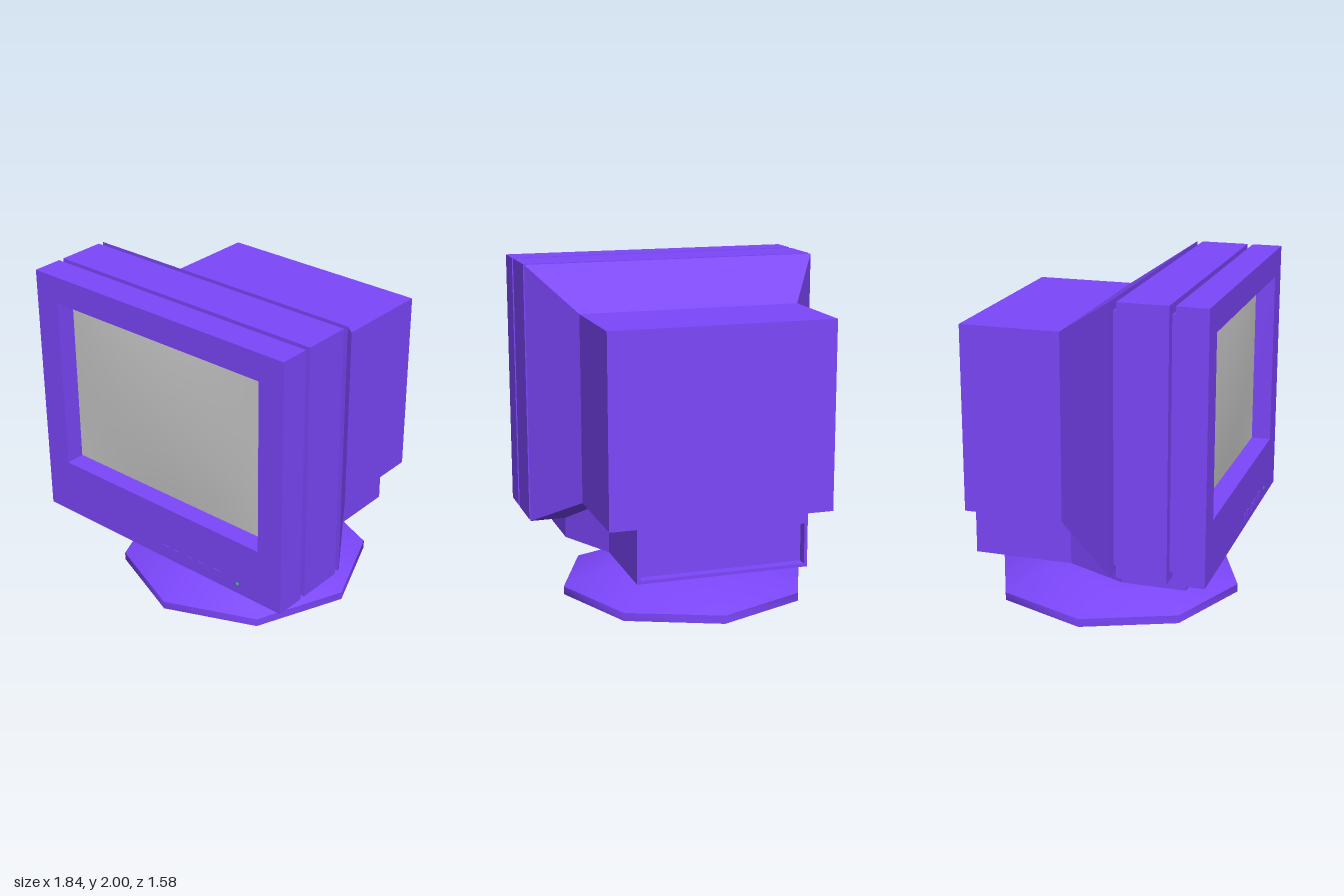
import * as THREE from 'three';
import { toCreasedNormals } from 'three/addons/utils/BufferGeometryUtils.js';

const shellMat = new THREE.MeshStandardMaterial({ color: 0x7c46fb });
const glassMat = new THREE.MeshStandardMaterial({ color: 0xcccccc });
const lampMat = new THREE.MeshStandardMaterial({ color: 0x33ee55 });

// Rectangular sections [z, halfWidth, bottomY, topY], front to back, joined into a closed solid
function loft(sections) {
  const pos = [], idx = [];
  for (const [z, w, b, t] of sections) pos.push(-w, b, z, w, b, z, w, t, z, -w, t, z);
  for (let s = 0; s < sections.length - 1; s++) {
    for (let i = 0; i < 4; i++) {
      const a = s * 4 + i, d = s * 4 + (i + 1) % 4;
      idx.push(a, a + 4, d + 4, a, d + 4, d);
    }
  }
  const e = (sections.length - 1) * 4;
  idx.push(0, 1, 2, 0, 2, 3, e, e + 2, e + 1, e, e + 3, e + 2);
  const geo = new THREE.BufferGeometry();
  geo.setAttribute('position', new THREE.Float32BufferAttribute(pos, 3));
  geo.setIndex(idx);
  const flat = geo.toNonIndexed();
  flat.computeVertexNormals();
  return flat;
}

function rectPath(path, w, b, t) {
  path.moveTo(-w, b);
  path.lineTo(w, b);
  path.lineTo(w, t);
  path.lineTo(-w, t);
  path.closePath();
  return path;
}

// Rectangular frame: outer and inner are [halfWidth, bottomY, topY]
function frame(outer, inner, zBack, zFront) {
  const shape = rectPath(new THREE.Shape(), ...outer);
  shape.holes.push(rectPath(new THREE.Path(), ...inner));
  return new THREE.ExtrudeGeometry(shape, { depth: zFront - zBack, bevelEnabled: false })
    .translate(0, 0, zBack);
}

// Eight-sided turned part from [radius, y] points
function turned(points) {
  const geo = new THREE.LatheGeometry(points.map(([r, y]) => new THREE.Vector2(r, y)), 8);
  return toCreasedNormals(geo, 0.82).translate(0, 0, -0.01);
}

export function createModel() {
  const model = new THREE.Group();
  model.name = 'monitor';
  const add = (name, geo, mat = shellMat) => {
    const mesh = new THREE.Mesh(geo, mat);
    mesh.name = name;
    model.add(mesh);
    return mesh;
  };

  // Front bezel and the middle band, with grooves between them
  add('bezel', frame([0.92, 0.41, 2], [0.755, 0.76, 1.835], 0.6, 0.785));
  add('middleBand', loft([[0.565, 0.92, 0.41, 2], [0.27, 0.92, 0.41, 2]]));
  add('grooveCore', loft([[0.61, 0.86, 0.46, 1.94], [0.225, 0.86, 0.46, 1.94]]));

  // Tapering rear housing
  add('rearHousing', loft([
    [0.235, 0.92, 0.41, 2],
    [-0.14, 0.68, 0.61, 1.75],
    [-0.75, 0.68, 0.61, 1.75],
  ]));

  // Gently bulging screen, set back in the bezel
  const glass = new THREE.PlaneGeometry(1.52, 1.085, 16, 12);
  const p = glass.attributes.position;
  for (let i = 0; i < p.count; i++) {
    const u = p.getX(i) / 0.76, v = p.getY(i) / 0.5425;
    p.setZ(i, 0.025 * (1 - u * u) * (1 - v * v));
  }
  glass.computeVertexNormals();
  add('screen', glass.translate(0, 1.2975, 0.665), glassMat);

  // Lower housing with an open connector bay at the back
  add('lowerHousing', loft([
    [0.62, 0.7, 0.285, 0.62],
    [0.235, 0.7, 0.285, 0.62],
    [-0.14, 0.52, 0.285, 0.62],
    [-0.69, 0.52, 0.285, 0.62],
  ]));
  add('connectorBayFrame', frame([0.52, 0.285, 0.61], [0.5, 0.305, 0.55], -0.75, -0.69));

  // Control buttons and power lamp
  for (const [x, size] of [[0.057, 0.042], [0.137, 0.042], [0.247, 0.042], [0.327, 0.042], [0.45, 0.056]]) {
    add('button', new THREE.BoxGeometry(size, size, 0.02)).position.set(x, 0.477, 0.78);
  }
  add('powerLamp', new THREE.BoxGeometry(0.014, 0.014, 0.012), lampMat).position.set(0.607, 0.475, 0.782);

  // Swivel neck and foot
  add('neck', turned([[0, 0.17], [0.25, 0.17], [0.46, 0.29], [0, 0.29]]));
  add('foot', turned([[0, 0], [0.775, 0], [0.775, 0.05], [0.485, 0.157], [0.27, 0.187], [0, 0.187]]));

  return model;
}
